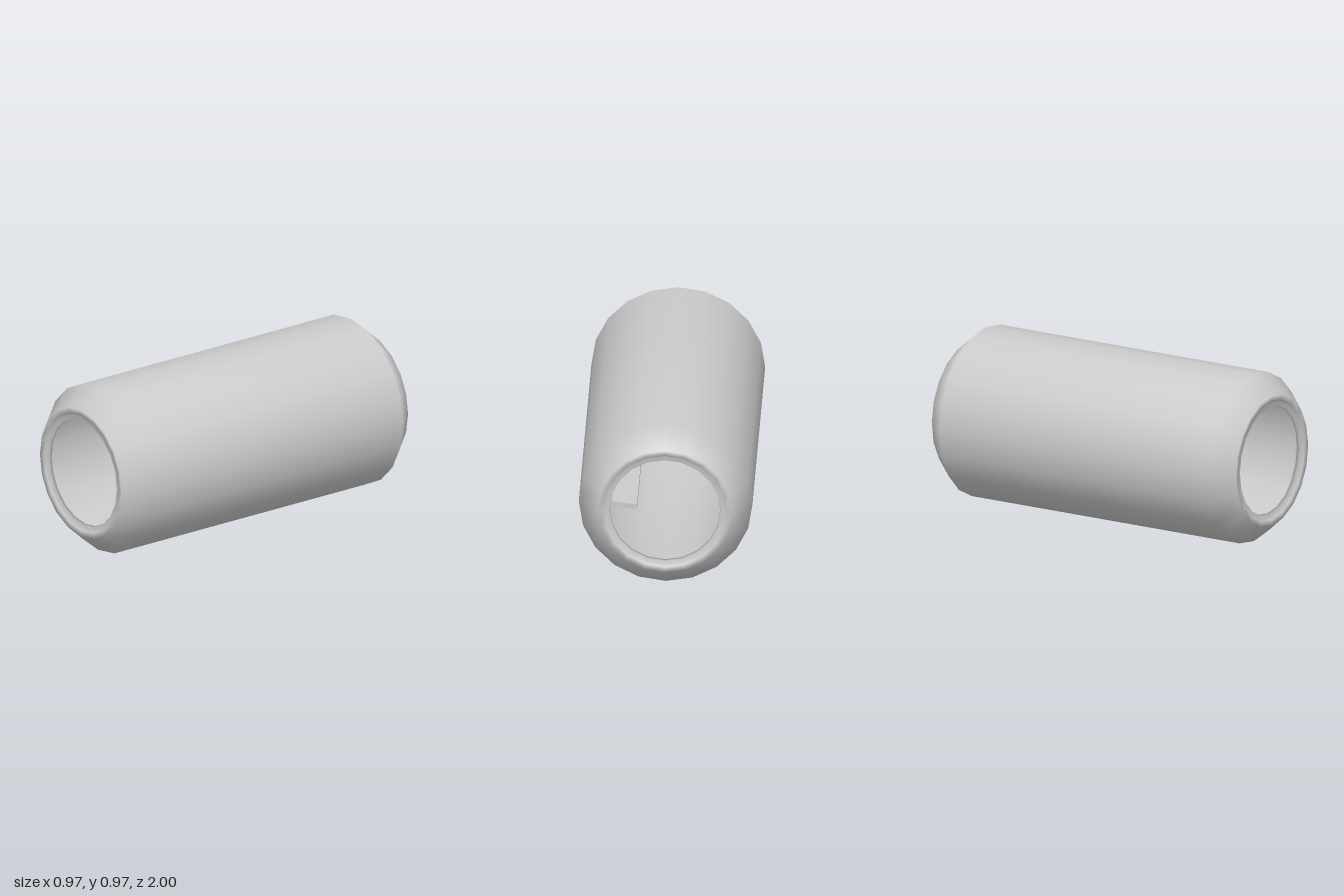
import * as THREE from 'three';

const RADIUS = 0.483;

export function createModel() {
  const group = new THREE.Group();
  const material = new THREE.MeshStandardMaterial({ color: 0xcccccc, side: THREE.DoubleSide });

  const add = (name, geometry, x = 0, y = 0, z = 0) => {
    const mesh = new THREE.Mesh(geometry, material);
    mesh.name = name;
    mesh.position.set(x, y, z);
    group.add(mesh);
  };

  // Hollow shell: half profile (radius, z) from the inner wall round the grooved lip to the outer wall
  const half = [
    [0.455, 0], [0.455, 0.87], [0.36, 0.96], [0.307, 0.97], [0.31, 0.985],
    [0.335, 0.975], [0.342, 0.995], [0.375, 1], [RADIUS, 0.88],
  ];
  const profile = [
    ...half.map(([r, z]) => new THREE.Vector2(r, -z)),
    ...half.slice().reverse().map(([r, z]) => new THREE.Vector2(r, z)),
  ];
  const shell = new THREE.LatheGeometry(profile, 20);
  shell.rotateX(Math.PI / 2);
  add('shell', shell, 0, RADIUS, 0);

  // Shelf inside the left wall, with a slanted back edge
  const outline = new THREE.Shape([
    [0.165, 0.74], [0.455, 0.66], [0.455, 0.2], [0.165, 0.2],
  ].map(([x, y]) => new THREE.Vector2(x, y)));
  const shelf = new THREE.ExtrudeGeometry(outline, { depth: 0.03, bevelEnabled: false });
  shelf.rotateX(-Math.PI / 2);
  add('shelf', shelf, 0, 0.37, 0);

  // Upright plate behind the shelf
  add('shelfBackPlate', new THREE.BoxGeometry(0.03, 0.18, 0.43), 0.425, 0.49, -0.415);

  return group;
}
